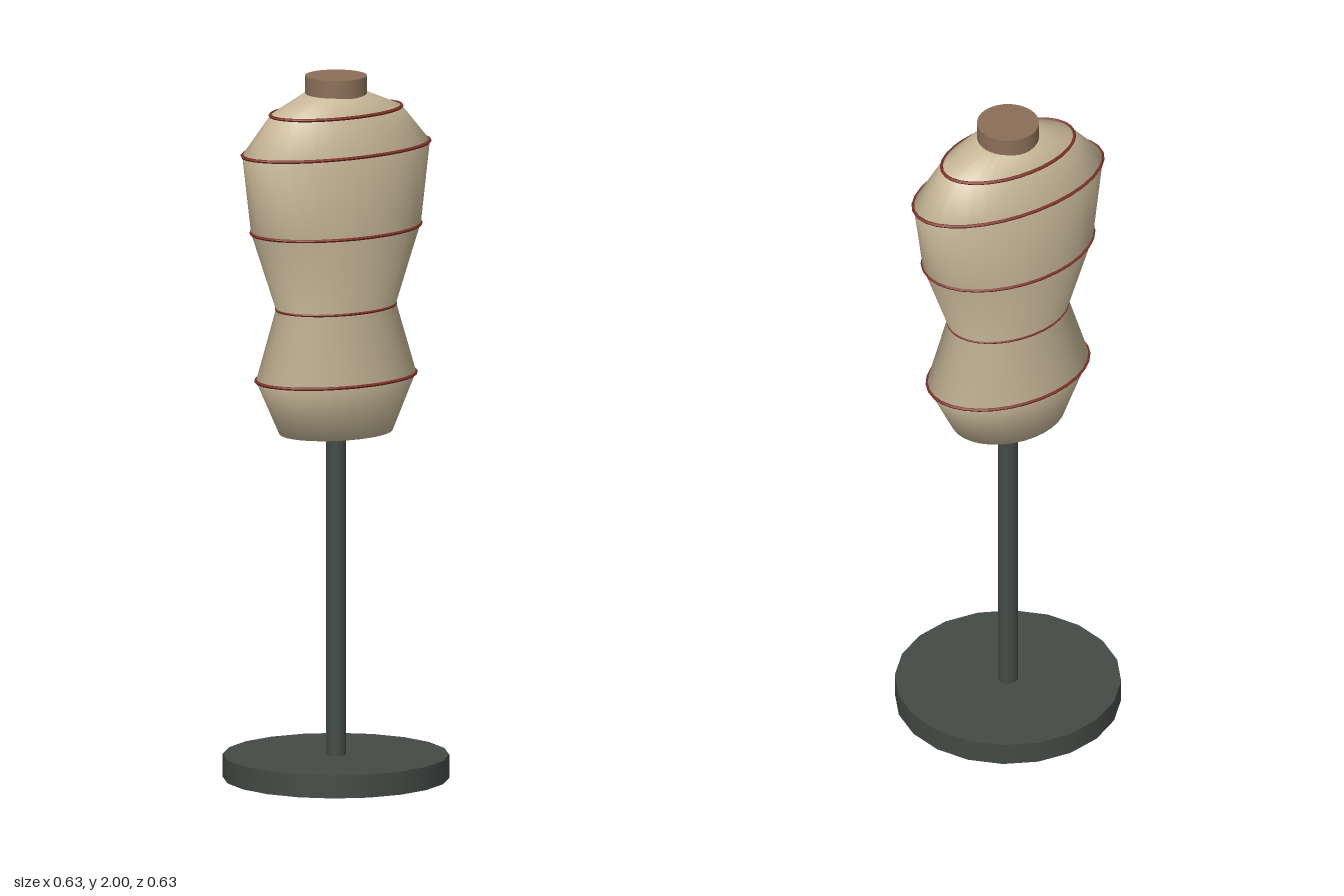
import * as THREE from 'three';
import { mergeVertices } from 'three/addons/utils/BufferGeometryUtils.js';

const SEGMENTS = 32;

// Torso cross-sections from hem to neck: [y, half width, half depth]
const SECTIONS = [
  [0.985, 0.17, 0.133],
  [1.143, 0.247, 0.168],
  [1.343, 0.184, 0.131],
  [1.566, 0.263, 0.175],
  [1.793, 0.301, 0.157],
  [1.9, 0.209, 0.118],
  [1.95, 0.09, 0.085],
];

// Closed, smooth body made of stacked ellipses
function torsoGeometry() {
  const bottom = SECTIONS[0], top = SECTIONS[SECTIONS.length - 1];
  const rings = [[bottom[0], 0, 0], ...SECTIONS, [top[0], 0, 0]];
  const lathe = new THREE.LatheGeometry(rings.map(([y, rx]) => new THREE.Vector2(rx, y)), SEGMENTS);
  const pos = lathe.attributes.position;
  for (let i = 0; i < pos.count; i++) {
    const [, rx, rz] = rings[i % rings.length];
    if (rx > 0) pos.setZ(i, pos.getZ(i) * rz / rx);
  }
  lathe.deleteAttribute('uv');
  lathe.deleteAttribute('normal');
  const geometry = mergeVertices(lathe, 1e-5);
  geometry.computeVertexNormals();
  return geometry;
}

// Thin cord following one elliptical cross-section
function cordGeometry(rx, rz) {
  const tube = 0.005;
  const geometry = new THREE.TorusGeometry(1, tube, 6, SEGMENTS);
  geometry.rotateX(Math.PI / 2);
  const pos = geometry.attributes.position;
  for (let i = 0; i < pos.count; i++) {
    const x = pos.getX(i), z = pos.getZ(i);
    const r = Math.hypot(x, z);
    pos.setX(i, (x / r) * (rx + r - 1));
    pos.setZ(i, (z / r) * (rz + r - 1));
  }
  geometry.computeVertexNormals();
  return geometry;
}

export function createModel() {
  const group = new THREE.Group();
  const material = (color) => new THREE.MeshStandardMaterial({ color });
  const metal = material(0x454a46);
  const fabric = material(0xc8b898);
  const wood = material(0x8b6f58);
  const red = material(0x7d2f26);

  const add = (name, geometry, mat, y = 0) => {
    const mesh = new THREE.Mesh(geometry, mat);
    mesh.name = name;
    mesh.position.y = y;
    group.add(mesh);
  };

  // Stand
  add('base', new THREE.CylinderGeometry(0.317, 0.317, 0.066, 20), metal, 0.033);
  add('pole', new THREE.CylinderGeometry(0.028, 0.028, 0.95, 16), metal, 0.525);

  // Body and neck block
  add('torso', torsoGeometry(), fabric);
  add('neckCap', new THREE.CylinderGeometry(0.087, 0.087, 0.056, 32), wood, 1.972);

  // Measuring cords at hip, waist, bust, shoulder and collar
  const names = ['hipCord', 'waistCord', 'bustCord', 'shoulderCord', 'collarCord'];
  names.forEach((name, i) => {
    const [y, rx, rz] = SECTIONS[i + 1];
    const inset = name === 'waistCord' ? 0.002 : 0;
    add(name, cordGeometry(rx - inset, rz - inset), red, y);
  });

  return group;
}
